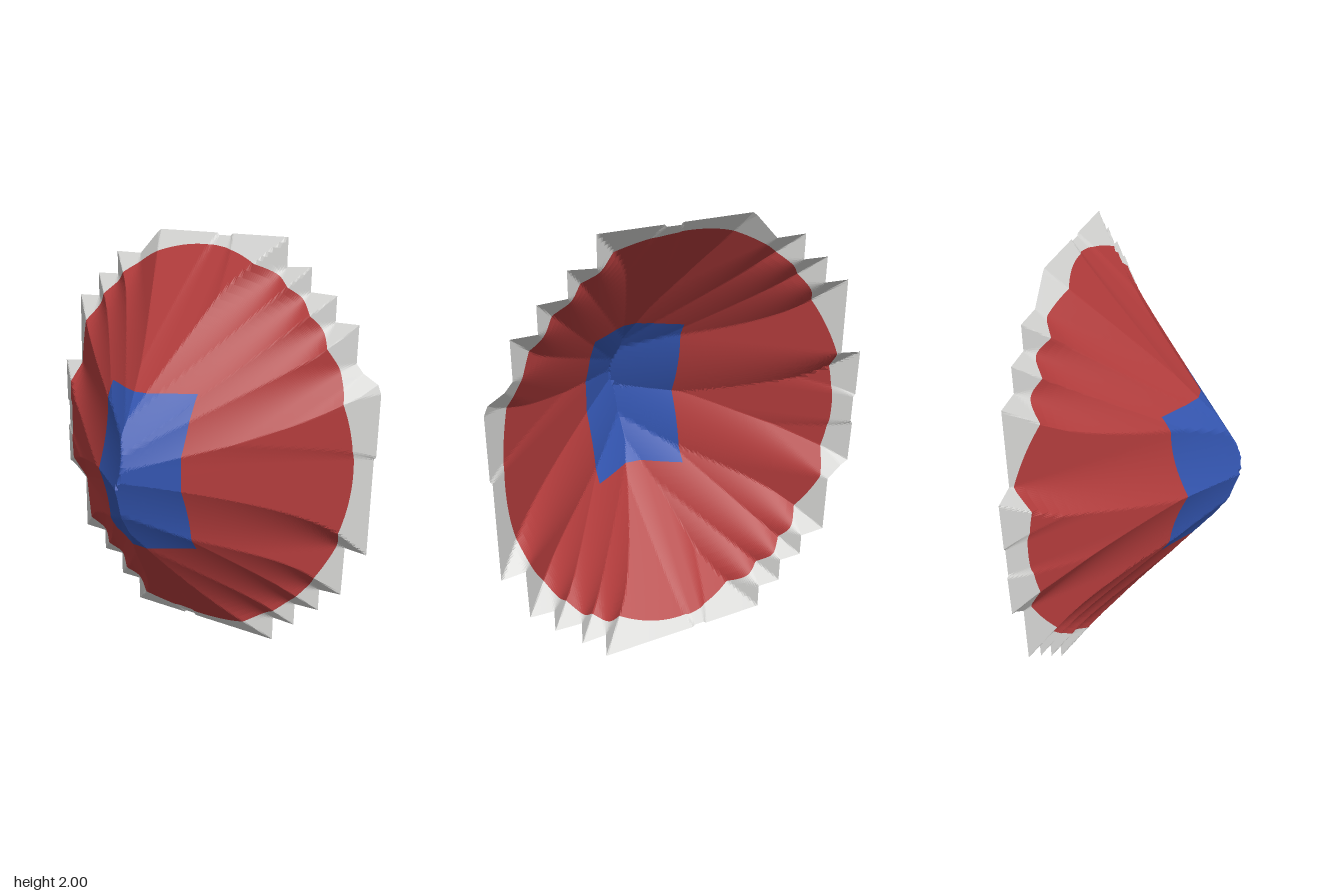
import * as THREE from 'three';

// Stepped rim outline, clockwise from the top left corner (x, y)
const RIM = [
  [-0.27, 2], [0.04, 2], [0.05, 1.99], [0.11, 1.99], [0.12, 2], [0.4, 2], [0.4, 1.87],
  [0.52, 1.88], [0.52, 1.77], [0.645, 1.765], [0.645, 1.65], [0.755, 1.65], [0.755, 1.48],
  [0.79, 1.44], [0.86, 1.4], [0.877, 1.36], [0.877, 1.07], [0.867, 1.06], [0.867, 0.59],
  [0.76, 0.6], [0.755, 0.355], [0.645, 0.35], [0.645, 0.24], [0.52, 0.235], [0.52, 0.12],
  [0.405, 0.125], [0.405, 0], [-0.05, 0], [-0.06, 0.01], [-0.11, 0.01], [-0.12, 0],
  [-0.415, 0], [-0.415, 0.12], [-0.53, 0.12], [-0.53, 0.24], [-0.645, 0.24], [-0.645, 0.35],
  [-0.77, 0.355], [-0.77, 0.64], [-0.84, 0.7], [-0.877, 0.72], [-0.88, 0.92], [-0.87, 0.93],
  [-0.87, 1.06], [-0.88, 1.07], [-0.88, 1.285], [-0.775, 1.3], [-0.77, 1.645], [-0.65, 1.65],
  [-0.65, 1.765], [-0.53, 1.77], [-0.53, 1.88], [-0.39, 1.88], [-0.29, 1.985],
].map(([x, y]) => [x, y - 1]);

const EDGES = RIM.map((a, i) => [a, RIM[(i + 1) % RIM.length]]);
const HALF_DEPTH = 0.387;

// Distance from a point to the nearest rim edge
function rimDistance(x, y) {
  let best = Infinity;
  for (const [[ax, ay], [bx, by]] of EDGES) {
    const dx = bx - ax, dy = by - ay;
    const t = Math.min(1, Math.max(0, ((x - ax) * dx + (y - ay) * dy) / (dx * dx + dy * dy)));
    best = Math.min(best, Math.hypot(x - ax - t * dx, y - ay - t * dy));
  }
  return best;
}

// Radii of the three colour borders along a direction (c, s)
const panelRadius = (c, s) => Math.min(0.225 / Math.abs(c), 0.367 / Math.abs(s));
const ellipseRadius = (c, s) => 1 / Math.hypot(c / 0.8, s / 0.95);
function rimRadius(c, s) {
  let best = 0;
  for (const [[ax, ay], [bx, by]] of EDGES) {
    const dx = bx - ax, dy = by - ay, det = c * dy - s * dx;
    if (Math.abs(det) < 1e-9) continue;
    const r = (ax * dy - ay * dx) / det;
    const t = (ax * s - ay * c) / det;
    if (r > 0 && t > -1e-6 && t < 1 + 1e-6) best = Math.max(best, r);
  }
  return best;
}

export function createModel() {
  const group = new THREE.Group();
  const material = (name, color) =>
    new THREE.MeshStandardMaterial({ name, color, side: THREE.DoubleSide });

  // Even rays plus one through every rim and panel corner
  const angles = [];
  for (let i = 0; i < 720; i++) angles.push((i / 720) * Math.PI * 2 - Math.PI + 0.0011);
  for (const [x, y] of RIM) angles.push(Math.atan2(y, x));
  for (const x of [-0.225, 0.225]) for (const y of [-0.367, 0.367]) angles.push(Math.atan2(y, x));
  angles.sort((a, b) => a - b);
  const rays = angles.map((a) => {
    const c = Math.cos(a), s = Math.sin(a), rim = rimRadius(c, s);
    return { c, s, stops: [0, panelRadius(c, s), Math.min(ellipseRadius(c, s), rim - 0.002), rim] };
  });

  // Slope chosen so that the peak reaches the full depth
  let peak = 0;
  for (let x = -0.1; x <= 0.1; x += 0.01)
    for (let y = -0.2; y <= 0.2; y += 0.01) peak = Math.max(peak, rimDistance(x, y));
  const slope = (2 * HALF_DEPTH) / peak;

  // One colour zone of the ridged shell, between two neighbouring borders
  function addZone(name, zone, rings, mat) {
    const columns = rays.map(({ c, s, stops }) => {
      const column = [];
      for (let j = 0; j <= rings; j++) {
        const r = THREE.MathUtils.lerp(stops[zone], stops[zone + 1], j / rings);
        const x = r * c, y = r * s;
        column.push([x, y + 1, slope * rimDistance(x, y) - HALF_DEPTH]);
      }
      return column;
    });
    const positions = [];
    columns.forEach((a, i) => {
      const b = columns[(i + 1) % columns.length];
      for (let j = 0; j < rings; j++) {
        positions.push(...a[j], ...a[j + 1], ...b[j + 1]);
        if (zone > 0 || j > 0) positions.push(...a[j], ...b[j + 1], ...b[j]);
      }
    });
    const geometry = new THREE.BufferGeometry();
    geometry.setAttribute('position', new THREE.Float32BufferAttribute(positions, 3));
    geometry.computeVertexNormals();
    const mesh = new THREE.Mesh(geometry, mat);
    mesh.name = name;
    group.add(mesh);
  }

  addZone('centrePanel', 0, 14, material('blue', 0x3355b0));
  addZone('ovalField', 1, 16, material('red', 0xb33c3c));
  addZone('outerRim', 2, 6, material('lightGrey', 0xd6d6d4));

  return group;
}
